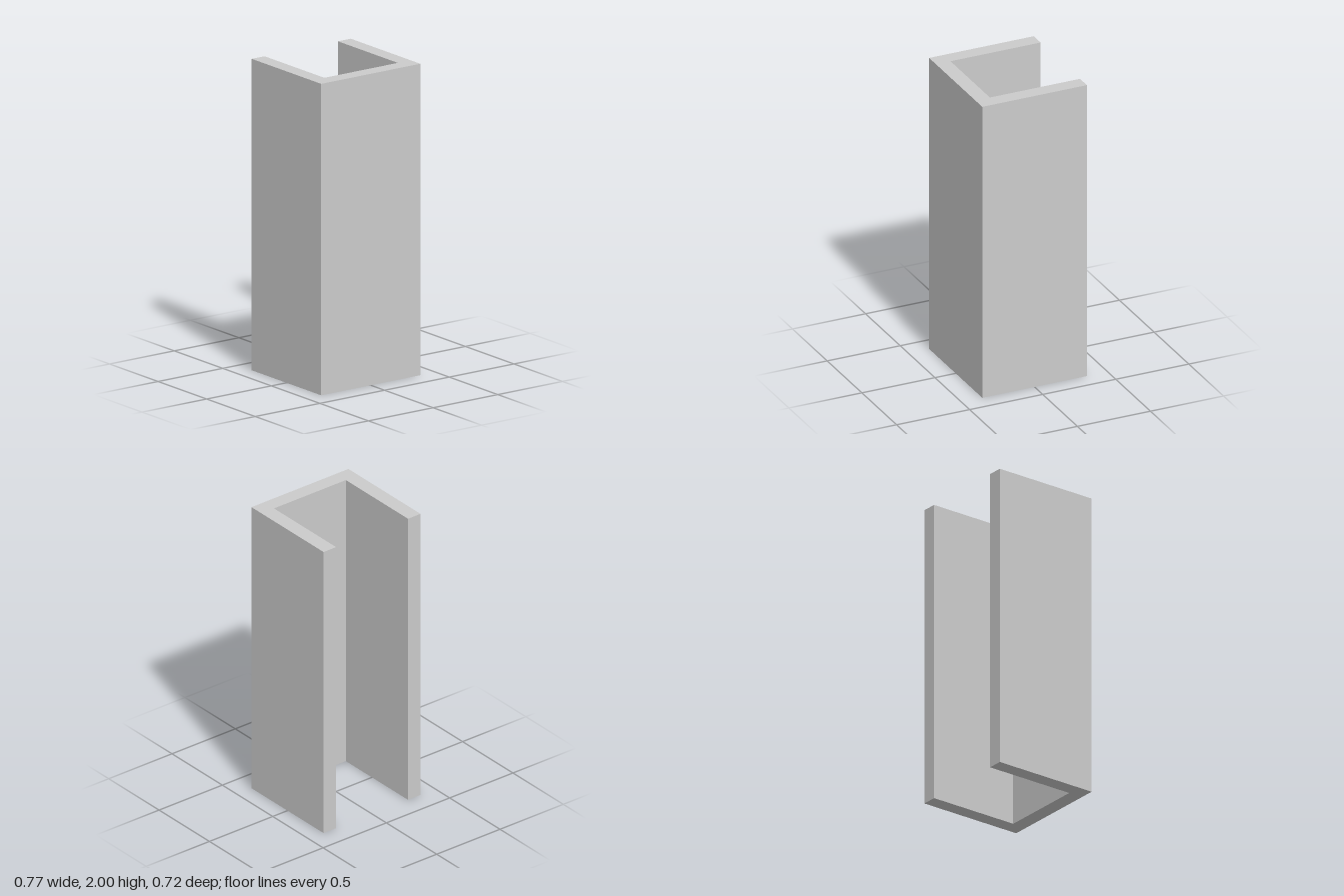
import * as THREE from 'three';

export function createModel() {
  const group = new THREE.Group();
  group.name = 'channelSection';

  const halfWidth = 0.383, halfDepth = 0.358, wall = 0.099, height = 2;
  const innerX = halfWidth - wall;
  const innerY = -halfDepth + wall;

  // U-shaped cross-section, open towards the back
  const profile = new THREE.Shape([
    [-halfWidth, -halfDepth], [halfWidth, -halfDepth],
    [halfWidth, halfDepth], [innerX, halfDepth],
    [innerX, innerY], [-innerX, innerY],
    [-innerX, halfDepth], [-halfWidth, halfDepth],
  ].map(([x, y]) => new THREE.Vector2(x, y)));

  // Extrude, then stand upright so the closed wall faces +z
  const geometry = new THREE.ExtrudeGeometry(profile, { depth: height, bevelEnabled: false });
  geometry.rotateX(-Math.PI / 2);

  const channel = new THREE.Mesh(
    geometry,
    new THREE.MeshStandardMaterial({ color: 0xcccccc, flatShading: true }),
  );
  channel.name = 'channel';
  group.add(channel);
  return group;
}
